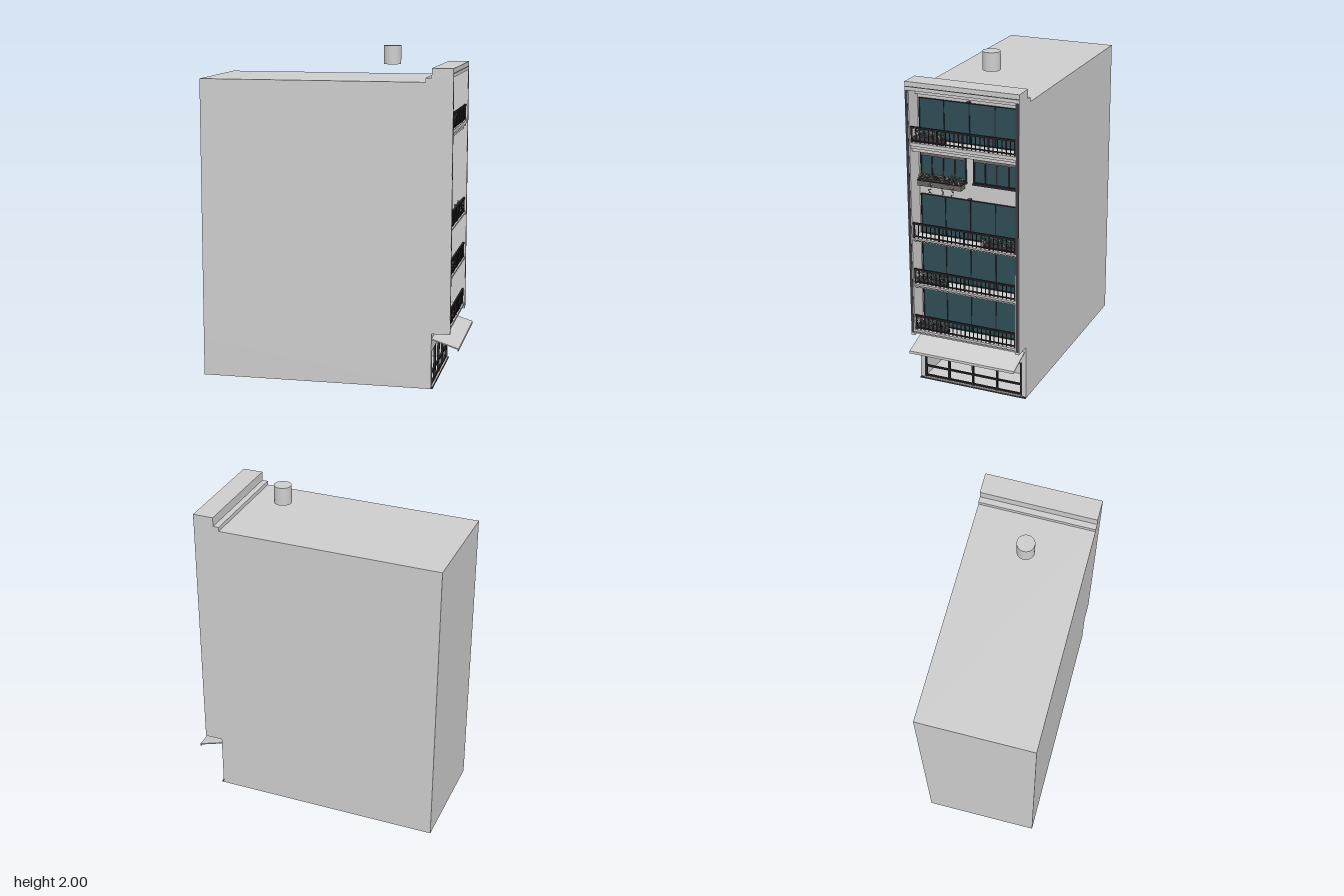
import * as THREE from 'three';
import { mergeGeometries } from 'three/addons/utils/BufferGeometryUtils.js';

const mat = (name, color) => {
  const m = new THREE.MeshStandardMaterial({ color });
  m.name = name;
  return m;
};

export function createModel() {
  const wall = mat('pale wall', 0xcccccc);
  const glass = mat('teal glass', 0x2f4d57);
  const metal = mat('dark metal', 0x2a2529);
  const trim = mat('charcoal trim', 0x3d3a40);
  const wood = mat('grey brown frame', 0x6a6662);
  const leaf = mat('leaf green', 0x5c6650);
  const petal = mat('cream petal', 0xd2c6bc);

  const model = new THREE.Group();
  model.name = 'townhouse';

  const add = (name, geometry, material, parent = model) => {
    const mesh = new THREE.Mesh(geometry, material);
    mesh.name = name;
    parent.add(mesh);
    return mesh;
  };
  // Box between two corners
  const block = (x0, x1, y0, y1, z0, z1) =>
    new THREE.BoxGeometry(x1 - x0, y1 - y0, z1 - z0)
      .translate((x0 + x1) / 2, (y0 + y1) / 2, (z0 + z1) / 2);
  const group = (name) => {
    const g = new THREE.Group();
    g.name = name;
    model.add(g);
    return g;
  };
  const outline = (pts) => new THREE.Shape(pts.map(([x, y]) => new THREE.Vector2(x, y)));
  const extrude = (pts, depth) =>
    new THREE.ExtrudeGeometry(outline(pts), { depth, bevelEnabled: false });
  let seed = 7;
  const rand = () => (seed = (seed * 16807) % 2147483647) / 2147483647;

  const W = 0.345, IN = 0.322, BACK = 0.62, FRONT = 0.73;

  // Main block, with stepped parapet reaching over the balconies
  add('mainBlock', extrude([
    [-0.78, 0.23], [BACK, 0.23], [BACK, 1.84], [FRONT, 1.84], [FRONT, 1.89], [0.605, 1.89],
    [0.605, 1.835], [0.57, 1.835], [0.57, 1.81], [-0.78, 1.81],
  ], 2 * W).translate(0, 0, -W), wall);

  // Ground storey with an open shop room
  add('groundStorey', extrude([
    [-0.78, -W], [BACK, -W], [BACK, -0.318], [0.37, -0.318],
    [0.37, 0.318], [BACK, 0.318], [BACK, W], [-0.78, W],
  ], 0.23).rotateX(-Math.PI / 2), wall);
  add('shopFloor', block(0.37, 0.628, 0, 0.012, -0.318, 0.318), wall);
  add('threshold', block(BACK, 0.63, 0, 0.008, -W, W), trim);

  // Shopfront frame
  const shop = [0.222, 0.078, 0.014].map((y) => block(0.607, 0.619, y, y + 0.01, -0.318, 0.318));
  for (const z of [-0.312, -0.157, 0, 0.157, 0.312])
    shop.push(block(0.606, 0.62, 0.012, 0.23, z - 0.006, z + 0.006));
  add('shopfrontFrame', mergeGeometries(shop), metal);

  // Sloping awning with a front lip
  add('awning', extrude([
    [BACK, 0.303], [0.78, 0.252], [0.78, 0.236], [0.775, 0.236], [0.775, 0.247], [BACK, 0.296],
  ], 0.67).translate(0, 0, -0.335), wall);

  // End piers with dark facing strips
  for (const s of [-1, 1]) {
    const [a, b] = s < 0 ? [-W, -IN] : [IN, W];
    add('endPier', block(BACK, FRONT, 0.335, 1.84, a, b), wall);
    add('pierStrip', block(FRONT - 0.004, FRONT + 0.001, 0.35, 1.84,
      s < 0 ? -0.343 : 0.327, s < 0 ? -0.327 : 0.343), trim);
  }
  add('parapetLine', block(FRONT - 0.003, FRONT + 0.001, 1.859, 1.864, -W, W), trim);
  add('lintelMoulding', block(BACK, 0.65, 1.8, 1.82, -IN, IN), wall);

  // Balcony slabs with a stepped front moulding
  for (const [y0, y1] of [[0.335, 0.371], [0.636, 0.668], [0.928, 0.955], [1.478, 1.535]]) {
    const h = y1 - y0;
    add('balconySlab', extrude([
      [BACK, y0], [0.705, y0], [0.705, y0 + h * 0.35], [0.717, y0 + h * 0.35],
      [0.717, y0 + h * 0.65], [0.727, y0 + h * 0.65], [0.727, y1], [BACK, y1],
    ], 2 * IN).translate(0, 0, -IN), wall);
  }

  // Glazing made of one pane and a frame with mullions
  const glazing = (name, y0, y1, z0, z1, mullions, t, material) => {
    const g = group(name);
    add('glassPane', block(BACK, 0.624, y0, y1, z0, z1), glass, g);
    const bars = [
      block(BACK, 0.63, y0, y0 + t, z0, z1), block(BACK, 0.63, y1 - t, y1, z0, z1),
      block(BACK, 0.63, y0, y1, z0, z0 + t), block(BACK, 0.63, y0, y1, z1 - t, z1),
    ];
    for (const z of mullions) bars.push(block(BACK, 0.629, y0, y1, z - t / 2, z + t / 2));
    add('windowFrame', mergeGeometries(bars), material, g);
    return g;
  };

  // Flowers and leaves scattered through a box-shaped region
  const plants = (parent, y0, y1, z0, z1, x0, x1, count) => {
    const sets = [[], []];
    for (let i = 0; i < count; i++) {
      const r = 0.003 + rand() * 0.004;
      const y = y0 + rand() * (y1 - y0);
      sets[i % 2].push(new THREE.OctahedronGeometry(r).rotateY(rand() * 3)
        .translate(x0 + rand() * (x1 - x0), y, z0 + rand() * (z1 - z0)));
    }
    add('leaves', mergeGeometries(sets[0]), leaf, parent);
    add('flowers', mergeGeometries(sets[1]), petal, parent);
  };

  // Balcony floors: glazing, railing, lamp and flower box
  const floors = [
    { y: 0.371, top: 0.615, box: [0.12, 0.31] },
    { y: 0.668, top: 0.906, box: [0.12, 0.31] },
    { y: 0.955, top: 1.2, box: [-0.31, -0.11] },
    { y: 1.535, top: 1.775, box: [0.12, 0.31] },
  ];
  for (const { y, top, box: [z0, z1] } of floors) {
    glazing('balconyGlazing', y, top, -0.312, 0.312, [-0.157, 0, 0.157], 0.005, metal);

    const rail = [
      block(0.71, 0.722, y + 0.084, y + 0.094, -IN, IN),
      block(0.712, 0.72, y + 0.008, y + 0.014, -IN, IN),
    ];
    for (let i = 0; i <= 24; i++) {
      const z = -0.315 + i * 0.02625, t = i % 6 ? 0.0022 : 0.004;
      rail.push(block(0.716 - t, 0.716 + t, y, y + 0.09, z - t, z + t));
    }
    add('railing', mergeGeometries(rail), metal);

    const g = group('flowerBox');
    add('trough', block(0.675, 0.706, y, y + 0.035, z0, z1), trim, g);
    plants(g, y + 0.03, y + 0.078, z0, z1, 0.68, 0.722, 130);
    add('wallLamp', block(BACK, 0.645, top + 0.004, top + 0.01, -0.01, 0.01), trim);
  }

  // Fourth floor: two casement windows with transom panels and sills
  for (const [z0, z1] of [[0.022, 0.31], [-0.31, -0.022]]) {
    const w = (z1 - z0) / 4;
    const g = glazing('casementWindow', 1.305, 1.467, z0, z1,
      [1, 2, 3].map((i) => z0 + i * w), 0.008, metal);
    add('transomPanel', block(BACK, 0.632, 1.435, 1.463, z0 + 0.006, z1 - 0.006), wood, g);
    add('windowSill', block(BACK, 0.64, 1.298, 1.306, z0 - 0.004, z1 + 0.004), trim, g);
  }

  // Hanging window planter with trailing flowers
  const planter = group('windowPlanter');
  add('planterBox', block(0.63, 0.685, 1.268, 1.303, 0.03, 0.302), wood, planter);
  add('planterRim', block(0.627, 0.688, 1.298, 1.304, 0.027, 0.305), metal, planter);
  plants(planter, 1.295, 1.335, 0.03, 0.302, 0.635, 0.69, 200);
  for (const z of [0.08, 0.145, 0.22])
    plants(planter, 1.235, 1.29, z - 0.008, z + 0.008, 0.685, 0.693, 12);

  // Roof flue
  add('roofFlue', new THREE.CylinderGeometry(0.052, 0.052, 0.11, 32).translate(0.315, 1.945, 0), wall);

  return model;
}
